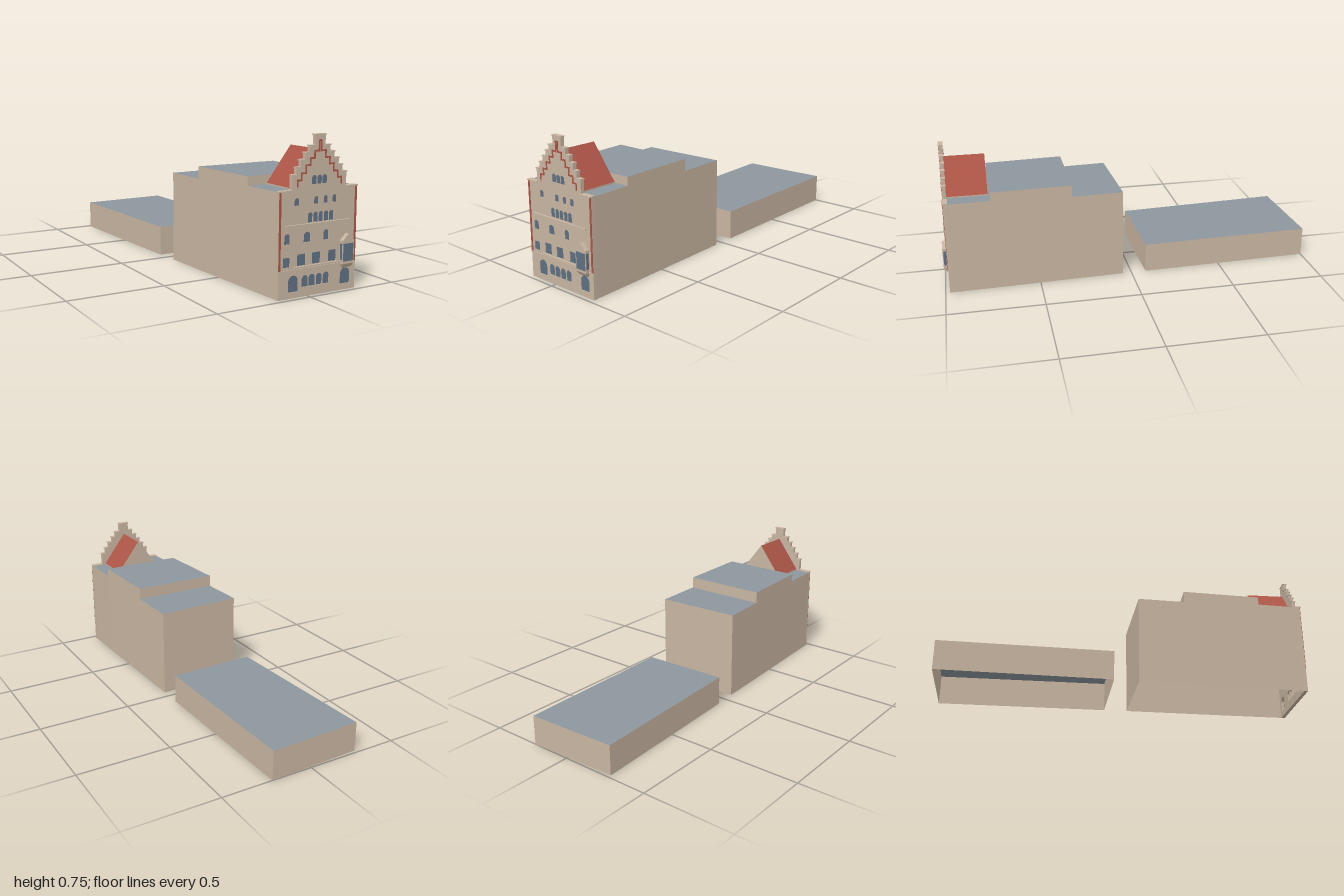
import * as THREE from 'three';

const material = (name, color) => {
  const m = new THREE.MeshStandardMaterial({ color, side: THREE.DoubleSide });
  m.name = name;
  return m;
};

export function createModel() {
  const stone = material('sandstone', 0xc8b5a1);
  const slate = material('grey roof', 0x8c969d);
  const red = material('red tile', 0xad5547);
  const glass = material('window glass', 0x5f7083);

  const model = new THREE.Group();
  model.name = 'townHouse';
  const CX = 0.057, BACK = 0.957, FRONT = 0.977;

  const add = (name, geo, mat, parent = model) => {
    const mesh = new THREE.Mesh(geo, mat);
    mesh.name = name;
    parent.add(mesh);
    return mesh;
  };
  const group = (name) => {
    const g = new THREE.Group();
    g.name = name;
    model.add(g);
    return g;
  };
  // Box given by its limits
  const box = (name, mat, x0, x1, y0, y1, z0, z1, parent) =>
    add(name, new THREE.BoxGeometry(x1 - x0, y1 - y0, z1 - z0), mat, parent)
      .position.set((x0 + x1) / 2, (y0 + y1) / 2, (z0 + z1) / 2);
  // Flat faces from lists of corners
  const faces = (name, mat, list, parent) => {
    const pos = [];
    for (const c of list)
      for (let i = 1; i < c.length - 1; i++) pos.push(...c[0], ...c[i], ...c[i + 1]);
    const geo = new THREE.BufferGeometry();
    geo.setAttribute('position', new THREE.Float32BufferAttribute(pos, 3));
    geo.computeVertexNormals();
    return add(name, geo, mat, parent);
  };
  const wall = ([xa, za], [xb, zb], y0, y1) =>
    [[xa, y0, za], [xb, y0, zb], [xb, y1, zb], [xa, y1, za]];

  // Main house: open underneath, three flat roofs at different heights
  const rows = [
    { l: [-0.167, BACK], r: [0.276, BACK], h: 0.498 },
    { l: [-0.18, 0.74], r: [0.27, 0.74], h: 0.542 },
    { l: [-0.205, 0.318], r: [0.256, 0.318], h: 0.479 },
    { l: [-0.218, 0.066], r: [0.247, 0.047], h: 0 },
  ];
  const house = group('mainHouse');
  const walls = [], roofs = [];
  for (let i = 0; i < 3; i++) {
    const a = rows[i], b = rows[i + 1];
    walls.push(wall(b.l, a.l, 0, a.h), wall(a.r, b.r, 0, a.h), wall(b.r, b.l, b.h, a.h));
    roofs.push([a.l, a.r, b.r, b.l].map(([x, z]) => [x, a.h, z]));
  }
  faces('houseWalls', stone, walls, house);
  faces('houseRoofs', slate, roofs, house);

  // Low rear building, also open underneath
  const annex = group('rearBuilding');
  const plan = [[-0.23, -0.066], [0.245, -0.08], [0.223, -1], [-0.279, -0.982]];
  faces('rearWalls', stone, plan.map((p, i) => wall(p, plan[(i + 1) % 4], 0, 0.159)), annex);
  faces('rearRoof', slate, [plan.map(([x, z]) => [x, 0.159, z])], annex);

  // Pitched red roof behind the gable
  const zr = 0.748, w = 0.135, y0 = 0.505, y1 = 0.68;
  const pitched = group('pitchedRoof');
  faces('roofSlopes', red, [-1, 1].map((s) =>
    [[CX + s * w, y0, BACK], [CX + s * w, y0, zr], [CX, y1, zr], [CX, y1, BACK]]), pitched);
  faces('roofEnd', stone, [
    [[CX + w, y0, zr], [CX - w, y0, zr], [CX, y1, zr]],
    wall([CX + w, zr], [CX - w, zr], 0.498, y0),
    wall([CX + w, BACK], [CX + w, zr], 0.498, y0),
    wall([CX - w, zr], [CX - w, BACK], 0.498, y0),
  ], pitched);

  // Windows: x start, x end, sill, top, arched
  const openings = [];
  const row = (sill, top, arched, spans) =>
    spans.forEach(([a, b]) => openings.push([a, b, sill, top, arched]));
  row(0.522, 0.563, true, [[0.013, 0.041], [0.043, 0.071], [0.073, 0.1]]);
  row(0.43, 0.465, true, [[-0.082, -0.056], [0.028, 0.053], [0.083, 0.107], [0.134, 0.158]]);
  row(0.346, 0.393, true,
    [[-0.005, 0.021], [0.026, 0.051], [0.056, 0.081], [0.086, 0.112], [0.116, 0.142]]);
  row(0.256, 0.304, true, [[-0.136, -0.104], [-0.027, 0.011], [0.087, 0.116]]);
  row(0.149, 0.194, false, [[-0.142, -0.104]]);
  row(0.149, 0.203, false, [[-0.062, -0.015], [0.023, 0.07], [0.117, 0.162]]);
  row(0.046, 0.101, true, [[-0.034, 0.001], [0.005, 0.042], [0.048, 0.082], [0.088, 0.123]]);
  row(0.03, 0.107, true, [[-0.111, -0.055], [0.19, 0.248]]);
  const trace = (path, [a, b, sill, top, arched]) => {
    const r = (b - a) / 2;
    path.moveTo(a, sill).lineTo(b, sill);
    if (arched) path.lineTo(b, top - r).absarc(a + r, top - r, r, 0, Math.PI, false);
    else path.lineTo(b, top).lineTo(a, top);
    path.closePath();
    return path;
  };

  // Facade with stepped gable
  const steps = [[0.155, 0.572], [0.131, 0.606], [0.108, 0.639], [0.083, 0.67], [0.058, 0.701], [0.029, 0.75]];
  const facade = group('facade');
  const right = [], left = [];
  let below = 0.5;
  for (const [half, top] of steps) {
    right.push([CX + half, below], [CX + half, top]);
    left.unshift([CX - half, top], [CX - half, below]);
    below = top;
  }
  const outline = [[-0.167, 0], [0.278, 0], [0.278, 0.5], ...right, ...left, [-0.167, 0.5]];
  const front = new THREE.Shape(outline.map((p) => new THREE.Vector2(...p)));
  front.holes = openings.map((o) => trace(new THREE.Path(), o));
  add('facadeWall', new THREE.ExtrudeGeometry(front,
    { depth: FRONT - BACK, bevelEnabled: false, curveSegments: 10 }), stone, facade)
    .position.z = BACK;
  const panes = openings.map((o) => trace(new THREE.Shape(), o));
  add('windowPanes', new THREE.ShapeGeometry(panes, 10), glass, facade).position.z = FRONT - 0.003;

  // Coping stones on the gable steps
  steps.forEach(([half, top], i) => {
    const inner = i < 5 ? steps[i + 1][0] : 0;
    for (const s of [-1, 1]) {
      const a = CX + s * inner, b = CX + s * (half + 0.003);
      box('coping', stone, Math.min(a, b), Math.max(a, b), top - 0.005, top + 0.0005,
        BACK - 0.002, FRONT + 0.003, facade);
    }
  });

  // Red stepped band on the gable, mirrored
  const band = [[0.129, 0.513, 0.549], [0.107, 0.541, 0.58], [0.083, 0.572, 0.615],
    [0.059, 0.607, 0.646], [0.035, 0.638, 0.678], [0.01, 0.67, 0.725]];
  band.forEach(([d, lo, hi], i) => {
    const next = i < 5 ? band[i + 1][0] : 0;
    for (const s of [-1, 1]) {
      const strip = (a, b, y0, y1) => box('gableBand', red,
        Math.min(CX + s * a, CX + s * b), Math.max(CX + s * a, CX + s * b),
        y0, y1, FRONT, FRONT + 0.002, facade);
      strip(d, d - 0.008, lo, hi);
      strip(d - 0.008, next, hi - 0.008, hi);
    }
  });

  // Red corner strips
  box('cornerStrip', red, -0.167, -0.156, 0.136, 0.497, FRONT, FRONT + 0.002, facade);
  box('cornerStrip', red, 0.267, 0.278, 0.136, 0.497, FRONT, FRONT + 0.002, facade);

  // Cornices and ledges
  box('cornice', stone, -0.168, -0.098, 0.497, 0.503, BACK - 0.003, FRONT + 0.006, facade);
  box('cornice', stone, 0.212, 0.279, 0.497, 0.503, BACK - 0.003, FRONT + 0.006, facade);
  box('baseCornice', stone, -0.167, 0.278, 0.128, 0.136, FRONT, FRONT + 0.004, facade);
  box('upperLedge', stone, -0.134, 0.241, 0.336, 0.343, FRONT, FRONT + 0.01, facade);
  box('lowerLedge', stone, -0.08, 0.172, 0.141, 0.147, FRONT, FRONT + 0.01, facade);

  // Oriel bay: tapered foot, body, glazing and small gable
  const oriel = group('oriel');
  const ox = 0.2185, oz = 0.998;
  box('orielBody', stone, ox - 0.032, ox + 0.032, 0.13, 0.241, FRONT, oz, oriel);
  box('orielGlass', glass, ox - 0.03, ox + 0.03, 0.143, 0.228, oz, oz + 0.001, oriel);
  for (const s of [-1, 1]) {
    const px = ox + s * 0.032;
    box('orielPost', stone, px - 0.002, px + 0.002, 0.13, 0.24, FRONT, oz + 0.001, oriel);
    box('orielCap', stone, px - 0.003, px + 0.003, 0.238, 0.243, FRONT, oz + 0.002, oriel);
    box('orielSideGlass', glass, px - 0.0025, px + 0.0025, 0.15, 0.228, FRONT + 0.004, oz - 0.003, oriel);
  }
  const gable = new THREE.Shape([[-0.035, 0.241], [0.035, 0.241], [0, 0.275]]
    .map((p) => new THREE.Vector2(...p)));
  add('orielGable', new THREE.ExtrudeGeometry(gable, { depth: 0.022, bevelEnabled: false }), stone, oriel)
    .position.set(ox, 0, FRONT);
  const T = [[-0.034, FRONT], [-0.034, oz], [0.034, oz], [0.034, FRONT]];
  const B = [[-0.028, FRONT], [-0.028, 0.983], [0.028, 0.983], [0.028, FRONT]];
  const up = ([x, z]) => [ox + x, 0.131, z], down = ([x, z]) => [ox + x, 0.11, z];
  faces('orielFoot', stone, [
    ...[0, 1, 2].map((i) => [down(B[i]), down(B[i + 1]), up(T[i + 1]), up(T[i])]),
    B.map(down).reverse(),
  ], oriel);

  return model;
}
